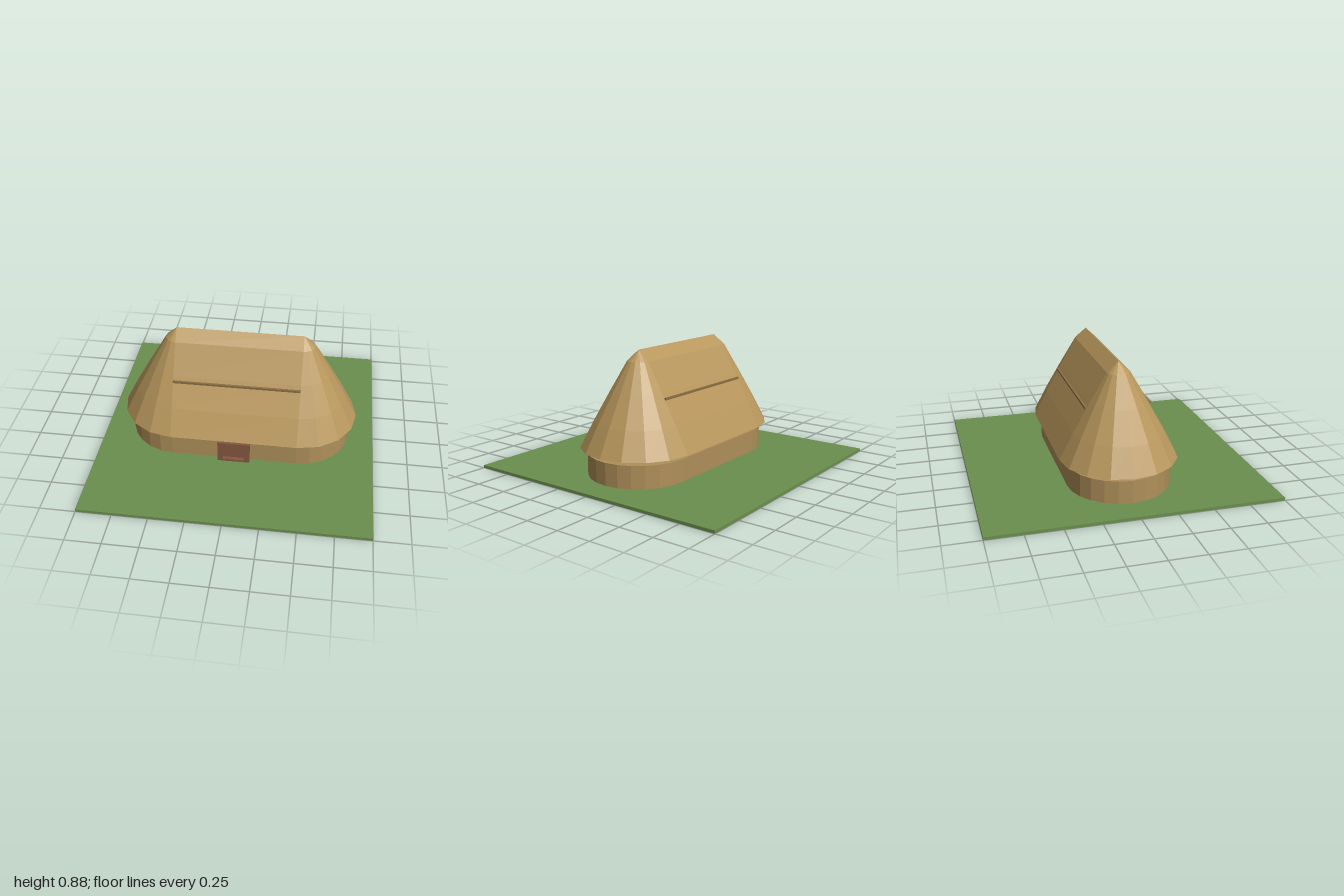
import * as THREE from 'three';

const HALF = 0.45; // half length of the straight middle of the house

// Stadium outline of radius r: two half circles joined by straight sides
function stadiumRing(r, steps) {
  const ring = [];
  for (const side of [1, -1]) {
    for (let i = 0; i <= steps; i++) {
      const a = -Math.PI / 2 + (i / steps) * Math.PI;
      ring.push(new THREE.Vector2(side * (HALF + r * Math.cos(a)), side * r * Math.sin(a)));
    }
  }
  return ring;
}

// Faceted shell through stadium rings, closed underneath
function roofGeometry(profile, steps) {
  const rings = profile.map(([r, y]) =>
    stadiumRing(r, steps).map((p) => new THREE.Vector3(p.x, y, p.y)));
  const n = rings[0].length;
  const centre = new THREE.Vector3(0, profile[0][1], 0);
  const points = [];
  for (let i = 0; i < n; i++) {
    const k = (i + 1) % n;
    points.push(centre, rings[0][i], rings[0][k]);
    for (let j = 0; j < rings.length - 1; j++) {
      const a = rings[j][i], b = rings[j][k], c = rings[j + 1][i], d = rings[j + 1][k];
      points.push(a, c, b);
      if (c.distanceTo(d) > 1e-6) points.push(b, c, d);
    }
  }
  const geometry = new THREE.BufferGeometry().setFromPoints(points);
  geometry.computeVertexNormals();
  return geometry;
}

function rectangle(Type, x0, y0, x1, y1) {
  return new Type([[x0, y0], [x1, y0], [x1, y1], [x0, y1]].map(([x, y]) => new THREE.Vector2(x, y)));
}

export function createModel() {
  const group = new THREE.Group();
  const material = (name, color) => {
    const m = new THREE.MeshStandardMaterial({ color });
    m.name = name;
    return m;
  };
  const grass = material('grass', 0x6b8f4e);
  const thatch = material('thatch', 0xb8975c);
  const clay = material('clay', 0xb0905a);
  const pole = material('pole', 0x8b7045);
  const wood = material('wood', 0x855840);

  const add = (name, geometry, mat, x = 0, y = 0, z = 0) => {
    const mesh = new THREE.Mesh(geometry, mat);
    mesh.name = name;
    mesh.position.set(x, y, z);
    group.add(mesh);
    return mesh;
  };

  // Ground slab
  add('ground', new THREE.BoxGeometry(2, 0.02, 2), grass, 0, 0.01, 0);

  // Low wall with rounded ends
  const wall = new THREE.ExtrudeGeometry(new THREE.Shape(stadiumRing(0.36, 12)),
    { depth: 0.16, bevelEnabled: false });
  wall.rotateX(-Math.PI / 2);
  add('wall', wall, clay, 0, 0.02, 0);

  // Steep roof with a ridge, floating just above the wall
  const profile = [[0.41, 0.215], [0.315, 0.4], [0.2, 0.605], [0.08, 0.81], [0, 0.885]];
  add('roof', roofGeometry(profile, 8), thatch);

  // Binding pole along each roof slope
  for (const side of [1, -1]) {
    add(side > 0 ? 'frontPole' : 'backPole',
      new THREE.BoxGeometry(2 * HALF, 0.015, 0.015), pole, 0, 0.572, side * 0.223);
  }

  // Door frame with a recessed door
  const frame = rectangle(THREE.Shape, -0.115, 0.02, 0.115, 0.185);
  frame.holes.push(rectangle(THREE.Path, -0.078, 0.036, 0.078, 0.154));
  add('doorFrame', new THREE.ExtrudeGeometry(frame, { depth: 0.045, bevelEnabled: false }),
    wood, 0, 0, 0.352);
  add('door', new THREE.BoxGeometry(0.156, 0.118, 0.02), wood, 0, 0.095, 0.358);

  return group;
}
